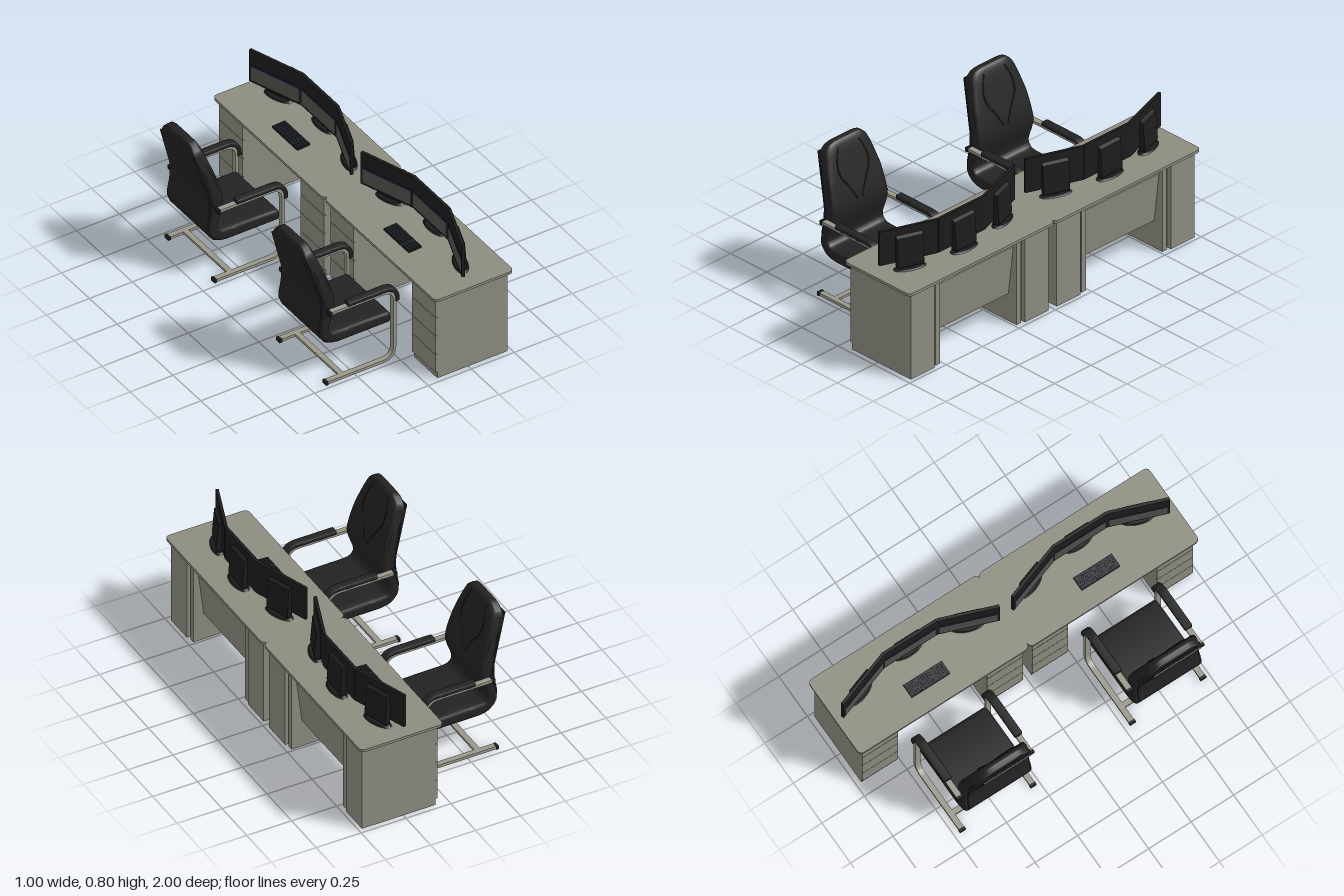
import * as THREE from 'three';
import { toCreasedNormals } from 'three/addons/utils/BufferGeometryUtils.js';

const mat = (name, color) => {
  const m = new THREE.MeshStandardMaterial({ color });
  m.name = name;
  return m;
};

export function createModel() {
  const desk = mat('desk grey', 0x8c8c80);
  const metal = mat('frame grey', 0x98978a);
  const leather = mat('black leather', 0x222222);
  const plastic = mat('black plastic', 0x1c1c1d);
  const display = mat('display grey', 0x50514b);
  const navy = mat('navy band', 0x1a1a3c);
  const keyColor = mat('key blue black', 0x232a33);

  const add = (parent, name, geometry, material) => {
    const mesh = new THREE.Mesh(geometry, material);
    mesh.name = name;
    parent.add(mesh);
    return mesh;
  };
  // Box given by its minimum and maximum on each axis
  const box = (parent, name, material, x0, x1, y0, y1, z0, z1) => {
    const mesh = add(parent, name, new THREE.BoxGeometry(x1 - x0, y1 - y0, z1 - z0), material);
    mesh.position.set((x0 + x1) / 2, (y0 + y1) / 2, (z0 + z1) / 2);
    return mesh;
  };
  // Side profile extruded along z, centred on z = 0
  const slab = (shape, width, bevel = 0, steps = 1) => {
    const g = new THREE.ExtrudeGeometry(shape, {
      depth: width - 2 * bevel, steps, curveSegments: 8,
      bevelEnabled: bevel > 0, bevelSize: bevel, bevelThickness: bevel, bevelOffset: -bevel, bevelSegments: 3,
    });
    return g.translate(0, 0, bevel - width / 2);
  };
  // Bent flat bar: a rounded polyline thickened in the xy plane
  const bar = (points, radius, thick, width, bevel = 0) => {
    const v = points.map(p => new THREE.Vector2(...p));
    const path = new THREE.Path();
    path.moveTo(v[0].x, v[0].y);
    for (let i = 1; i < v.length - 1; i++) {
      const a = v[i - 1].clone().sub(v[i]).setLength(radius).add(v[i]);
      const b = v[i + 1].clone().sub(v[i]).setLength(radius).add(v[i]);
      path.lineTo(a.x, a.y);
      path.quadraticCurveTo(v[i].x, v[i].y, b.x, b.y);
    }
    path.lineTo(v.at(-1).x, v.at(-1).y);
    const c = path.getPoints(8), left = [], right = [];
    c.forEach((p, i) => {
      const d = c[Math.min(i + 1, c.length - 1)].clone().sub(c[Math.max(i - 1, 0)]).normalize();
      const n = new THREE.Vector2(-d.y, d.x).multiplyScalar(thick / 2);
      left.push(p.clone().add(n));
      right.unshift(p.clone().sub(n));
    });
    return toCreasedNormals(slab(new THREE.Shape([...left, ...right]), width, bevel), 0.6);
  };
  // Narrow the chair back towards a rounded top
  const taper = g => {
    const p = g.attributes.position;
    for (let i = 0; i < p.count; i++) {
      const y = p.getY(i), t = THREE.MathUtils.clamp((y - 0.32) / 0.48, 0, 1), u = p.getZ(i) / 0.195;
      p.setZ(i, p.getZ(i) * (1 - 0.26 * t * t));
      p.setY(i, y - 0.05 * Math.max(0, (t - 0.6) / 0.4) * u ** 6);
    }
    return toCreasedNormals(g, 0.7);
  };

  function makeDesk() {
    const g = new THREE.Group();
    g.name = 'desk';
    // Top with rounded corners
    const [x0, x1, h, r] = [0.04, 0.5, 0.5, 0.03];
    const s = new THREE.Shape();
    s.moveTo(x0 + r, -h);
    s.lineTo(x1 - r, -h).quadraticCurveTo(x1, -h, x1, -h + r);
    s.lineTo(x1, h - r).quadraticCurveTo(x1, h, x1 - r, h);
    s.lineTo(x0 + r, h).quadraticCurveTo(x0, h, x0, h - r);
    s.lineTo(x0, -h + r).quadraticCurveTo(x0, -h, x0 + r, -h);
    const top = add(g, 'deskTop', new THREE.ExtrudeGeometry(s, { depth: 0.015, bevelEnabled: false }), desk);
    top.rotation.x = -Math.PI / 2;
    top.position.y = 0.485;
    // Drawer pedestals with a grooved inner column
    for (const k of [-1, 1]) {
      const span = (name, a, b, xa, xb, ya = 0, yb = 0.485) =>
        box(g, name, desk, xa, xb, ya, yb, Math.min(k * a, k * b), Math.max(k * a, k * b));
      span('pedestal', 0.31, 0.472, 0.07, 0.48);
      span('pedestalGroove', 0.292, 0.31, 0.07, 0.455);
      span('pedestalColumn', 0.262, 0.292, 0.07, 0.47);
      [0.037, 0.148, 0.259, 0.371].forEach(y => span('drawerFront', 0.262, 0.472, 0.06, 0.07, y, y + 0.108));
    }
    // Leaning back panel and its rail
    box(g, 'panelRail', desk, 0.4, 0.415, 0.43, 0.485, -0.262, 0.262);
    box(g, 'backPanel', desk, 0.415, 0.43, 0.155, 0.437, -0.264, 0.264).rotation.z = -0.12;
    return g;
  }

  function makeMonitor(x, z, angle, width) {
    const g = new THREE.Group();
    g.name = 'monitor';
    const w = width / 2;
    box(g, 'monitorShell', plastic, -0.008, 0.008, 0.535, 0.725, -w, w);
    box(g, 'displayArea', display, -0.0095, -0.008, 0.548, 0.628, -w + 0.012, w - 0.012);
    box(g, 'displayBand', navy, -0.0095, -0.008, 0.628, 0.642, -w + 0.012, w - 0.012);
    const housing = new THREE.Shape([[0.006, 0.515], [0.036, 0.515], [0.038, 0.53], [0.027, 0.675], [0.006, 0.685]]
      .map(p => new THREE.Vector2(...p)));
    add(g, 'rearHousing', slab(housing, 0.14), plastic);
    box(g, 'standNeck', plastic, 0.01, 0.03, 0.505, 0.53, -0.02, 0.02);
    const foot = add(g, 'standFoot', new THREE.CylinderGeometry(0.85, 1, 1, 32), plastic);
    foot.scale.set(0.038, 0.008, 0.088);
    foot.position.set(0.02, 0.504, 0);
    g.position.set(x, 0, z);
    g.rotation.y = angle;
    return g;
  }

  function makeKeyboard() {
    const g = new THREE.Group();
    g.name = 'keyboard';
    box(g, 'keyboardBody', plastic, -0.038, 0.038, -0.005, 0.005, -0.113, 0.113);
    for (let i = 0; i < 5; i++) for (let j = 0; j < 15; j++) {
      const x = -0.028 + i * 0.014, z = -0.103 + j * 0.0147;
      if (j !== 10) box(g, 'key', keyColor, x - 0.005, x + 0.005, 0.005, 0.008, z - 0.0055, z + 0.0055);
    }
    g.position.set(0.182, 0.506, -0.012);
    g.rotation.z = 0.06;
    return g;
  }

  function makeChair() {
    const g = new THREE.Group();
    g.name = 'chair';
    // One-piece seat and back cushion
    const s = new THREE.Shape();
    s.moveTo(-0.03, 0.21);
    s.lineTo(-0.33, 0.21);
    s.splineThru([[-0.385, 0.225], [-0.425, 0.27], [-0.428, 0.32], [-0.41, 0.4], [-0.41, 0.48],
      [-0.45, 0.63], [-0.488, 0.77], [-0.468, 0.797], [-0.435, 0.78], [-0.385, 0.63], [-0.346, 0.49],
      [-0.346, 0.42], [-0.376, 0.33], [-0.372, 0.293], [-0.34, 0.276], [-0.25, 0.274]]
      .map(p => new THREE.Vector2(...p)));
    s.lineTo(-0.04, 0.27);
    s.quadraticCurveTo(-0.018, 0.265, -0.018, 0.24);
    s.quadraticCurveTo(-0.018, 0.212, -0.03, 0.21);
    add(g, 'cushion', taper(slab(s, 0.39, 0.014, 10)), leather);
    add(g, 'backShell', taper(bar([[-0.5, 0.775], [-0.417, 0.48], [-0.417, 0.4], [-0.434, 0.31], [-0.405, 0.23], [-0.33, 0.212]],
      0.03, 0.008, 0.36)), leather);
    // Curved seams on the front of the back
    for (const k of [-1, 1]) {
      const seam = new THREE.CatmullRomCurve3([[-0.431, 0.77, 0.07], [-0.404, 0.69, 0.1], [-0.384, 0.63, 0.095],
        [-0.364, 0.56, 0.05], [-0.347, 0.49, 0.015]].map(([x, y, z]) => new THREE.Vector3(x, y, z * k)));
      add(g, 'seam', new THREE.TubeGeometry(seam, 20, 0.004, 6), leather);
      // Cantilever frame, arm pad and foot cap
      const side = new THREE.Group();
      side.name = 'sideFrame';
      side.position.z = k * 0.208;
      add(side, 'frame', bar([[-0.395, 0.422], [-0.018, 0.422], [-0.018, 0.01], [-0.41, 0.01]], 0.07, 0.016, 0.03), metal);
      add(side, 'armPad', bar([[-0.29, 0.439], [-0.004, 0.439], [-0.004, 0.352]], 0.075, 0.022, 0.046, 0.006), leather);
      box(side, 'footCap', plastic, -0.42, -0.405, 0, 0.019, -0.017, 0.017);
      box(side, 'armBracket', plastic, -0.4, -0.385, 0.41, 0.434, -0.019, 0.019);
      g.add(side);
    }
    box(g, 'crossBar', metal, -0.33, -0.3, 0.005, 0.018, -0.2, 0.2);
    box(g, 'seatBar', metal, -0.026, -0.012, 0.215, 0.235, -0.2, 0.2);
    return g;
  }

  // Two identical workstations side by side
  const model = new THREE.Group();
  model.name = 'doubleWorkstation';
  for (const z of [-0.5, 0.5]) {
    const station = new THREE.Group();
    station.name = 'workstation';
    const chair = makeChair();
    chair.position.z = 0.005;
    station.add(makeDesk(), chair, makeKeyboard(),
      makeMonitor(0.292, -0.315, 0.327, 0.325),
      makeMonitor(0.345, -0.005, 0, 0.32),
      makeMonitor(0.29, 0.304, -0.357, 0.315));
    station.position.z = z;
    model.add(station);
  }
  return model;
}
